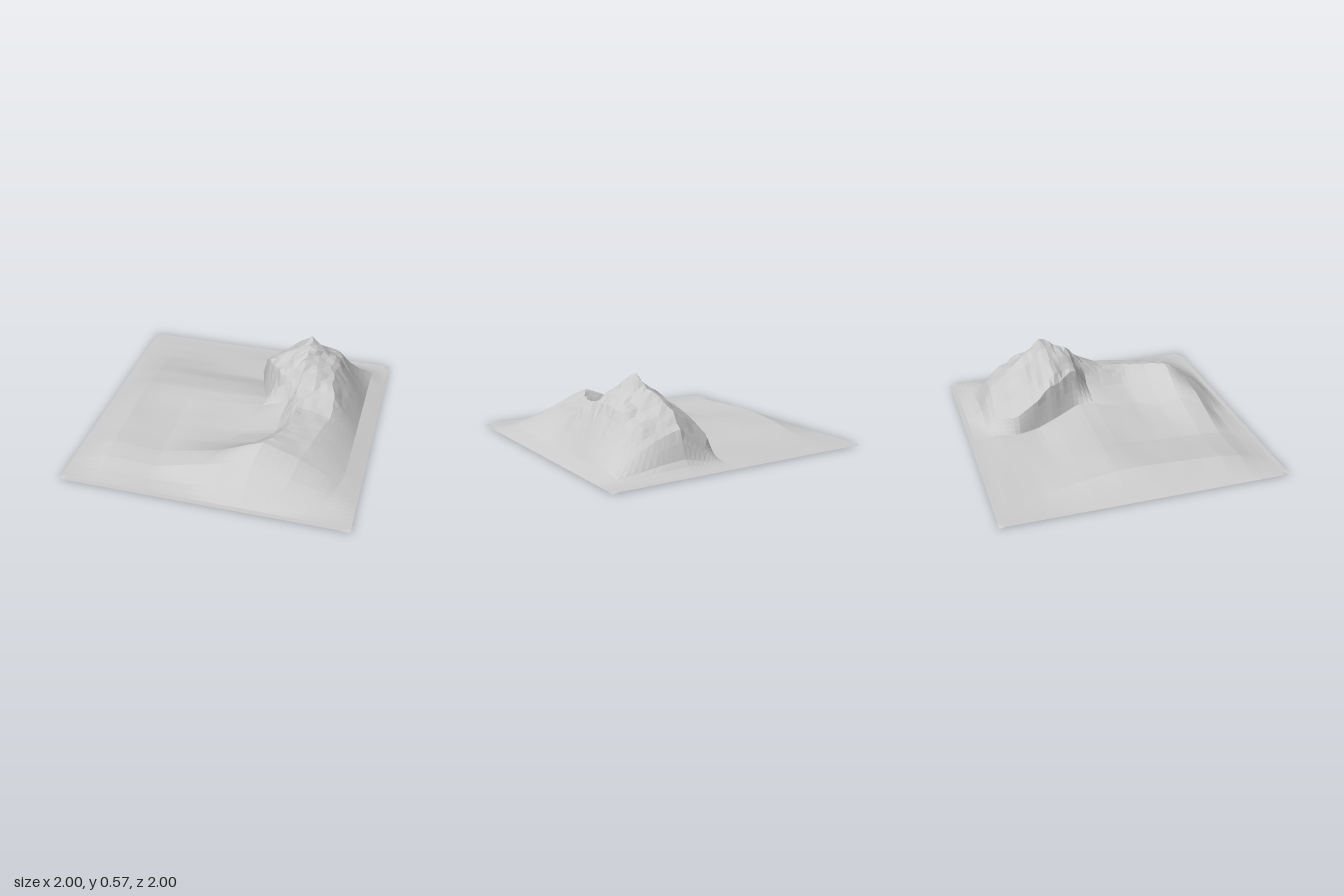
import * as THREE from 'three';

// West-to-east cross-sections of the land, from back to front:
// z, heights at x = -0.75 and -0.4, then x,y pairs for
// cliff foot, cliff top, crest and outer slope.
const SECTIONS = [
  [-0.86, .013, .013, .08, .015, .20, .03, .38, .06, .56, .055],
  [-0.79, .015, .015, .08, .025, .19, .10, .38, .25, .56, .20],
  [-0.65, .025, .025, .03, .03, .07, .15, .36, .36, .63, .31],
  [-0.50, .05, .045, .07, .03, .09, .23, .42, .47, .67, .36],
  [-0.36, .08, .08, .10, .07, .15, .32, .47, .57, .68, .38],
  [-0.16, .107, .10, .18, .12, .27, .36, .45, .465, .66, .35],
  [-0.04, .107, .095, .16, .12, .36, .19, .45, .34, .70, .28],
  [0.10, .105, .08, .10, .105, .34, .16, .45, .285, .70, .21],
  [0.28, .10, .065, .12, .10, .35, .15, .46, .27, .65, .20],
  [0.45, .085, .06, 0, .11, .25, .16, .41, .26, .62, .20],
  [0.60, .08, .06, 0, .15, .12, .20, .33, .285, .58, .20],
  [0.74, .06, .045, -.10, .115, .06, .16, .28, .18, .55, .14],
  [0.84, .03, .02, -.10, .035, .06, .08, .28, .11, .52, .075],
];
// Columns between neighbouring feature lines
const SPLITS = [5, 6, 10, 4, 5, 5, 6, 3];
const ROWS = 54;
const EDGE = 0.008;

// Repeatable value in -1..1 for each grid point
function rough(i, j) {
  const s = Math.sin(i * 127.1 + j * 311.7) * 43758.5453;
  return (s - Math.floor(s)) * 2 - 1;
}

// Flat rows close the terrain at back and front
function flatRow(row, z) {
  return row.map((v, k) => (k === 0 ? z : k < 3 || k % 2 === 0 ? EDGE : v));
}

// Cross-section at any z, as [x, y] feature points
function sectionAt(z, sections) {
  let k = 0;
  while (k < sections.length - 2 && sections[k + 1][0] < z) k++;
  const a = sections[k], b = sections[k + 1];
  const t = (z - a[0]) / (b[0] - a[0]);
  const s = a.map((v, n) => v + (b[n] - v) * t);
  const points = [[-1, EDGE], [-0.75, s[1]], [-0.4, s[2]]];
  for (let n = 3; n < s.length; n += 2) points.push([s[n], s[n + 1]]);
  // outer foot curves inwards at the front and fades out at both ends
  const fade = THREE.MathUtils.smoothstep(1 - Math.abs(z), 0.04, 0.3);
  points.push([0.88 - 0.22 * Math.max(0, z - 0.5), EDGE + 0.04 * fade]);
  points.push([1, EDGE]);
  return points;
}

function terrainGeometry() {
  const first = SECTIONS[0], final = SECTIONS[SECTIONS.length - 1];
  const sections = [
    flatRow(first, -1), flatRow(first, -0.95), ...SECTIONS,
    flatRow(final, 0.95), flatRow(final, 1),
  ];
  const columns = SPLITS.reduce((a, b) => a + b, 0);
  const positions = [], index = [];

  for (let j = 0; j <= ROWS; j++) {
    const z = -1 + (2 * j) / ROWS;
    const points = sectionAt(z, sections);
    let i = 0;
    for (let s = 0; s < SPLITS.length; s++) {
      const last = s === SPLITS.length - 1;
      for (let n = 0; n < SPLITS[s] + (last ? 1 : 0); n++, i++) {
        const t = n / SPLITS[s];
        let x = points[s][0] + (points[s + 1][0] - points[s][0]) * t;
        let y = points[s][1] + (points[s + 1][1] - points[s][1]) * t;
        let dz = 0;
        if (j === 0 || j === ROWS || i === 0 || i === columns) {
          // straight outer border with the corners on the ground
          y = (i === 0 || i === columns) && (j === 0 || j === ROWS) ? 0 : EDGE;
        } else {
          // soft swells on the low ground, broken rock on the heights
          const rock = x > 0.03 ? THREE.MathUtils.smoothstep(y, 0.14, 0.4) : 0;
          y += y * 0.05 * Math.sin(x * 9 + z * 4) * Math.cos(z * 8 - x * 3) * (1 - rock);
          y += 0.014 * rock * rough(i >> 1, j >> 1);
          x += 0.01 * rock * rough(i + 50, j);
          dz = 0.01 * rock * rough(i, j + 50);
        }
        positions.push(x, Math.max(0, y), z + dz);
      }
    }
  }

  const w = columns + 1;
  for (let j = 0; j < ROWS; j++) {
    for (let i = 0; i < columns; i++) {
      const a = j * w + i, b = a + 1, c = a + w, d = c + 1;
      index.push(a, c, b, b, c, d);
    }
  }
  const geometry = new THREE.BufferGeometry();
  geometry.setAttribute('position', new THREE.Float32BufferAttribute(positions, 3));
  geometry.setIndex(index);
  geometry.computeVertexNormals();
  return geometry;
}

export function createModel() {
  const group = new THREE.Group();
  group.name = 'mountainLandscape';
  const material = new THREE.MeshStandardMaterial({
    color: 0xcccccc, flatShading: true, side: THREE.DoubleSide,
  });
  const terrain = new THREE.Mesh(terrainGeometry(), material);
  terrain.name = 'terrain';
  group.add(terrain);
  return group;
}
